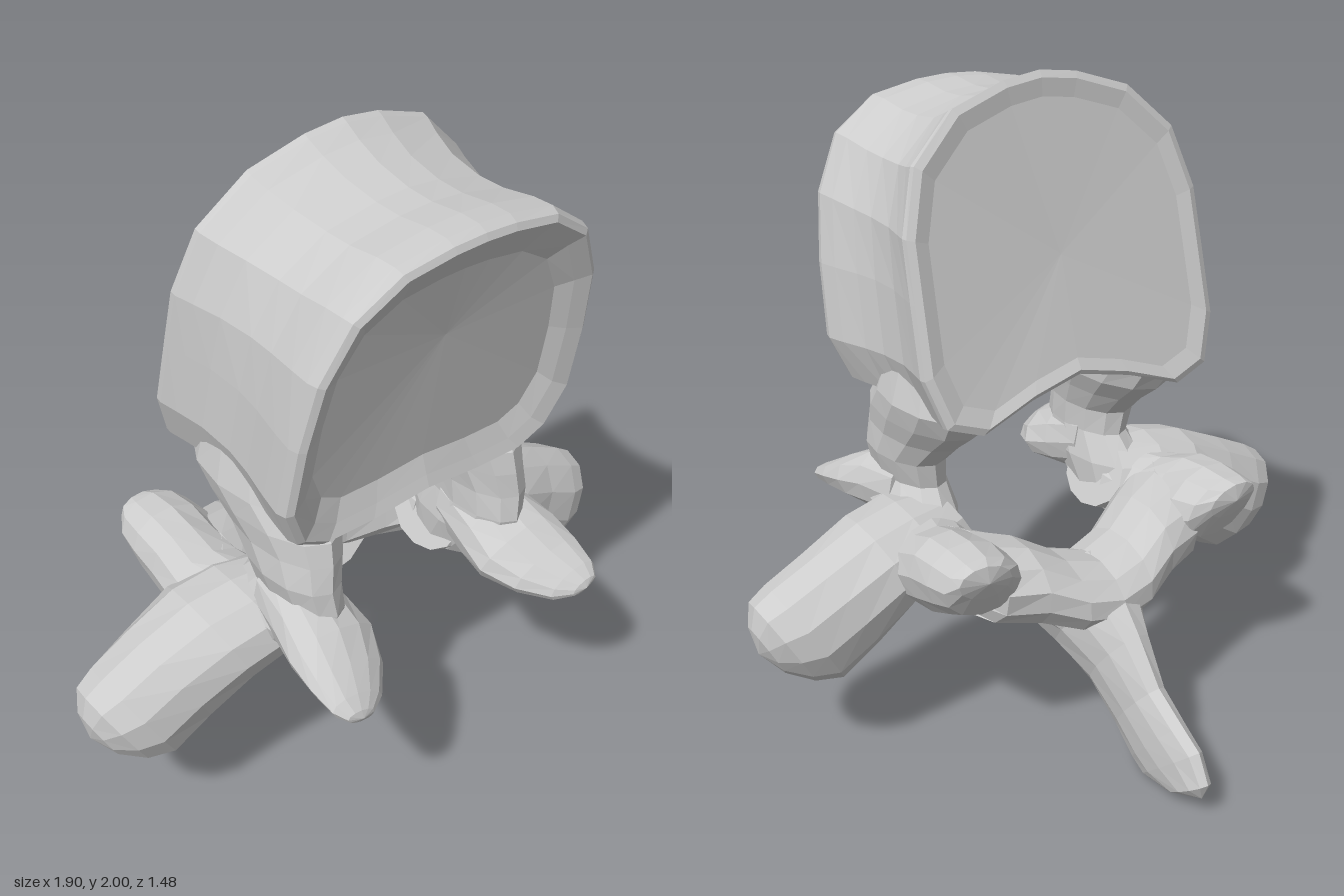
import * as THREE from 'three';

const SIDES = 12;

// Skin a list of equal-length rings, closing each end with a fan to a centre point
function loft(rings, startTip, endTip) {
  const n = rings[0].length;
  const pts = rings.flat();
  const mean = r => r.reduce((s, p) => s.add(p), new THREE.Vector3()).divideScalar(n);
  const a = pts.push(startTip || mean(rings[0])) - 1;
  const b = pts.push(endTip || mean(rings.at(-1))) - 1;
  const idx = [];
  const last = (rings.length - 1) * n;
  for (let j = 0; j < n; j++) {
    const k = (j + 1) % n;
    for (let i = 0; i < last; i += n) {
      idx.push(i + j, i + k, i + n + j, i + k, i + n + k, i + n + j);
    }
    idx.push(a, k, j, b, last + j, last + k);
  }
  // Turn the faces outward when the enclosed volume comes out negative
  let volume = 0;
  const c = new THREE.Vector3();
  for (let i = 0; i < idx.length; i += 3) {
    volume += pts[idx[i]].dot(c.crossVectors(pts[idx[i + 1]], pts[idx[i + 2]]));
  }
  if (volume < 0) idx.reverse();
  const indexed = new THREE.BufferGeometry().setFromPoints(pts);
  indexed.setIndex(idx);
  const g = indexed.toNonIndexed();
  g.computeVertexNormals(); // faceted
  return g;
}

// Elliptical section: centre c and half-axis vectors u, v; side = -1 mirrors in x
function ring([c, u, v], side = 1) {
  return Array.from({ length: SIDES }, (_, i) => {
    const t = (i / SIDES) * Math.PI * 2;
    const p = [0, 1, 2].map(k => c[k] + u[k] * Math.cos(t) + v[k] * Math.sin(t));
    return new THREE.Vector3(p[0] * side, p[1], p[2]);
  });
}

// Half outlines of the two body ends (x, y), from bottom middle to top middle
const FRONT = [[0, 1.04], [.2, 1.02], [.36, 1.02], [.45, 1.07], [.505, 1.2], [.495, 1.42],
  [.465, 1.62], [.385, 1.78], [.25, 1.87], [.1, 1.895], [0, 1.9]];
const BACK = [[0, 1.17], [.17, 1.13], [.34, 1.07], [.45, 1.11], [.495, 1.25], [.49, 1.45],
  [.485, 1.62], [.43, 1.8], [.29, 1.93], [.12, 1.985], [0, 2]];

// t runs from the front face (0) to the back face (1)
function bodyPoint(x, y, t, inset) {
  const zf = .66 - (1.9 - y) * .19 - inset;
  const zb = .1 - (2 - y) * .245 + inset;
  return new THREE.Vector3(x, y, zf + (zb - zf) * t);
}

function bodyRing([t, sx, sTop, sLow, inset]) {
  const half = FRONT.map(([x, y], i) => {
    const px = (x + (BACK[i][0] - x) * t) * sx;
    const py = y + (BACK[i][1] - y) * t - 1.48;
    return [px, 1.48 + py * (py > 0 ? sTop : sLow)];
  });
  const other = half.slice(1, -1).reverse().map(([x, y]) => [-x, y]);
  return [...half, ...other].map(([x, y]) => bodyPoint(x, y, t, inset));
}

function bodyGeometry() {
  const sections = [ // t, width, upper height, lower height, depth into the face
    [0, .78, .7, .75, .05],
    [0, .86, .85, .88, .02],
    [0, .95, .94, .96, 0],
    [.02, .985, .98, .99, 0],
    [.07, 1, 1, 1, 0],
    [.18, .98, .98, 1, 0],
    [.35, .94, .92, 1, 0],
    [.5, .92, .9, 1, 0],
    [.7, .93, .91, 1, 0],
    [.85, .97, .95, 1, 0],
    [.95, 1, .99, 1, 0],
    [.985, .995, 1, 1, 0],
    [1, .95, .96, .96, 0],
    [1, .86, .86, .86, .012]
  ];
  return loft(sections.map(bodyRing), bodyPoint(0, 1.56, 0, .065), bodyPoint(0, 1.5, 1, .025));
}

// Paired parts, given for the +x side
const PAIRED = {
  pedicle: {
    s: [
      [[.34, 1.22, .16], [.1, 0, 0], [0, 0, .2]],
      [[.335, 1.09, .17], [.135, 0, 0], [0, 0, .25]],
      [[.33, 1.02, .23], [.13, 0, 0], [0, 0, .26]],
      [[.335, .95, .285], [.11, 0, 0], [0, 0, .22]],
      [[.345, .87, .335], [.1, 0, 0], [0, 0, .18]],
      [[.335, .79, .345], [.088, 0, 0], [0, 0, .18]],
      [[.35, .7, .3], [.115, 0, 0], [0, 0, .21]],
      [[.35, .58, .24], [.1, 0, 0], [0, 0, .15]]
    ]
  },
  frontArticularHorn: {
    s: [
      [[.34, .74, .28], [.1, 0, 0], [0, .12, 0]],
      [[.345, .715, .42], [.125, .02, 0], [0, .11, .03]],
      [[.35, .69, .52], [.145, .025, 0], [0, .085, .03]],
      [[.375, .665, .62], [.125, .025, 0], [0, .06, .01]],
      [[.405, .645, .7], [.085, .02, 0], [0, .04, 0]],
      [[.42, .64, .735], [.045, .01, 0], [0, .02, 0]]
    ],
    tip: [.42, .638, .745]
  },
  transverseWing: {
    s: [
      [[.27, .66, .21], [.05, .1, 0], [0, 0, .14]],
      [[.4, .64, .2], [.06, .125, 0], [0, 0, .19]],
      [[.53, .6, .185], [.065, .14, 0], [0, 0, .19]],
      [[.67, .515, .175], [.085, .155, 0], [0, 0, .17]],
      [[.79, .445, .175], [.09, .165, 0], [0, 0, .16]],
      [[.86, .435, .175], [.075, .14, 0], [0, 0, .135]],
      [[.91, .425, .175], [.04, .08, 0], [0, 0, .08]]
    ],
    tip: [.935, .42, .175]
  },
  rearArticularHorn: {
    s: [
      [[.38, .61, .16], [.13, 0, 0], [0, .12, 0]],
      [[.41, .61, .04], [.15, .02, 0], [0, .13, 0]],
      [[.42, .635, -.06], [.14, .03, 0], [0, .14, 0]],
      [[.42, .665, -.16], [.14, .02, 0], [0, .12, 0]],
      [[.425, .68, -.24], [.125, .015, 0], [0, .1, -.015]],
      [[.44, .715, -.28], [.085, .01, 0], [0, .055, -.01]]
    ],
    tip: [.44, .72, -.3]
  }
};

// Arch behind the opening, from the +x end towards the middle
const LAMINA = [
  [[.44, .61, .12], [0, .12, .02], [0, 0, .14]],
  [[.34, .595, -.04], [0, .135, .02], [0, .02, -.2]],
  [[.22, .57, -.1], [0, .125, .04], [0, .035, -.175]],
  [[.11, .525, -.15], [0, .11, .05], [0, .03, -.165]]
];

// Rear spine as upper edge z, y, lower edge z, y, half width
const SPINE = [
  [-.14, .61, .03, .4, .25],
  [-.24, .585, .015, .365, .2],
  [-.31, .55, -.07, .265, .13],
  [-.4, .45, -.21, .2, .085],
  [-.5, .325, -.32, .105, .058],
  [-.61, .26, -.4, .03, .052],
  [-.69, .215, -.45, .001, .048],
  [-.735, .13, -.57, .015, .04]
];

export function createModel() {
  const model = new THREE.Group();
  const bone = new THREE.MeshStandardMaterial({ color: 0xcccccc });
  bone.name = 'bone';
  const add = (name, geometry) => {
    const mesh = new THREE.Mesh(geometry, bone);
    mesh.name = name;
    model.add(mesh);
  };

  add('vertebralBody', bodyGeometry());

  for (const side of [1, -1]) {
    for (const [name, { s, tip }] of Object.entries(PAIRED)) {
      const end = tip && new THREE.Vector3(tip[0] * side, tip[1], tip[2]);
      add((side > 0 ? 'left ' : 'right ') + name, loft(s.map(q => ring(q, side)), null, end));
    }
  }

  const middle = ring([[0, .505, -.17], [0, .1, .05], [0, .03, -.16]]);
  add('lamina', loft([
    ...LAMINA.map(q => ring(q)), middle, ...LAMINA.map(q => ring(q, -1)).reverse()
  ]));

  add('rearSpine', loft(SPINE.map(([z1, y1, z2, y2, w]) => ring([
    [0, (y1 + y2) / 2, (z1 + z2) / 2],
    [0, (y1 - y2) / 2, (z1 - z2) / 2],
    [w, 0, 0]
  ])), null, new THREE.Vector3(0, .07, -.71)));

  return model;
}
